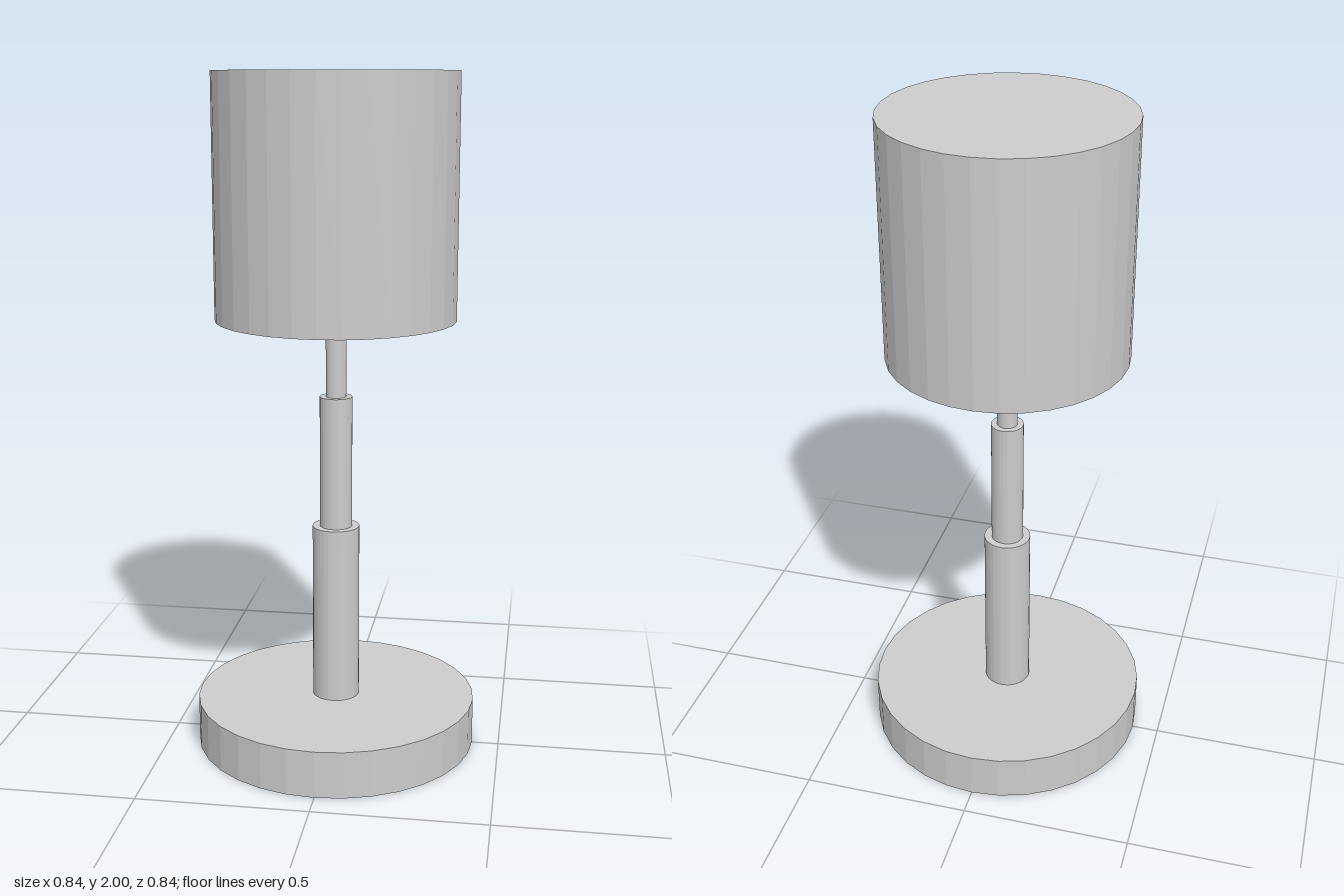
import * as THREE from 'three';

const SIDES = 32;

export function createModel() {
  const lamp = new THREE.Group();
  lamp.name = 'tableLamp';
  const grey = new THREE.MeshStandardMaterial({ color: 0xcccccc });
  grey.name = 'light grey';
  grey.flatShading = true;

  // Solid of revolution from a closed [radius, height] profile, bottom to top
  function turned(name, profile, z = 0) {
    const points = profile.map(([r, y]) => new THREE.Vector2(r, y));
    const mesh = new THREE.Mesh(new THREE.LatheGeometry(points, SIDES), grey);
    mesh.name = name;
    mesh.position.z = z;
    lamp.add(mesh);
  }
  const rod = (name, r, y0, y1, z) => turned(name, [[0, y0], [r, y0], [r, y1], [0, y1]], z);

  // Round foot and telescoping stem
  rod('base', 0.42, 0, 0.14);
  rod('lowerStem', 0.07, 0.14, 0.675);
  rod('middleStem', 0.048, 0.675, 1.07);
  rod('upperStem', 0.03, 1.07, 1.43);

  // Socket holding the shade from inside
  rod('socket', 0.055, 1.43, 1.93);

  // Thick-walled shade, open below and closed on top
  turned('shade', [
    [0, 1.93], [0.285, 1.93], [0.285, 1.3], [0.35, 1.3], [0.35, 2], [0, 2],
  ], 0.005);

  return lamp;
}
